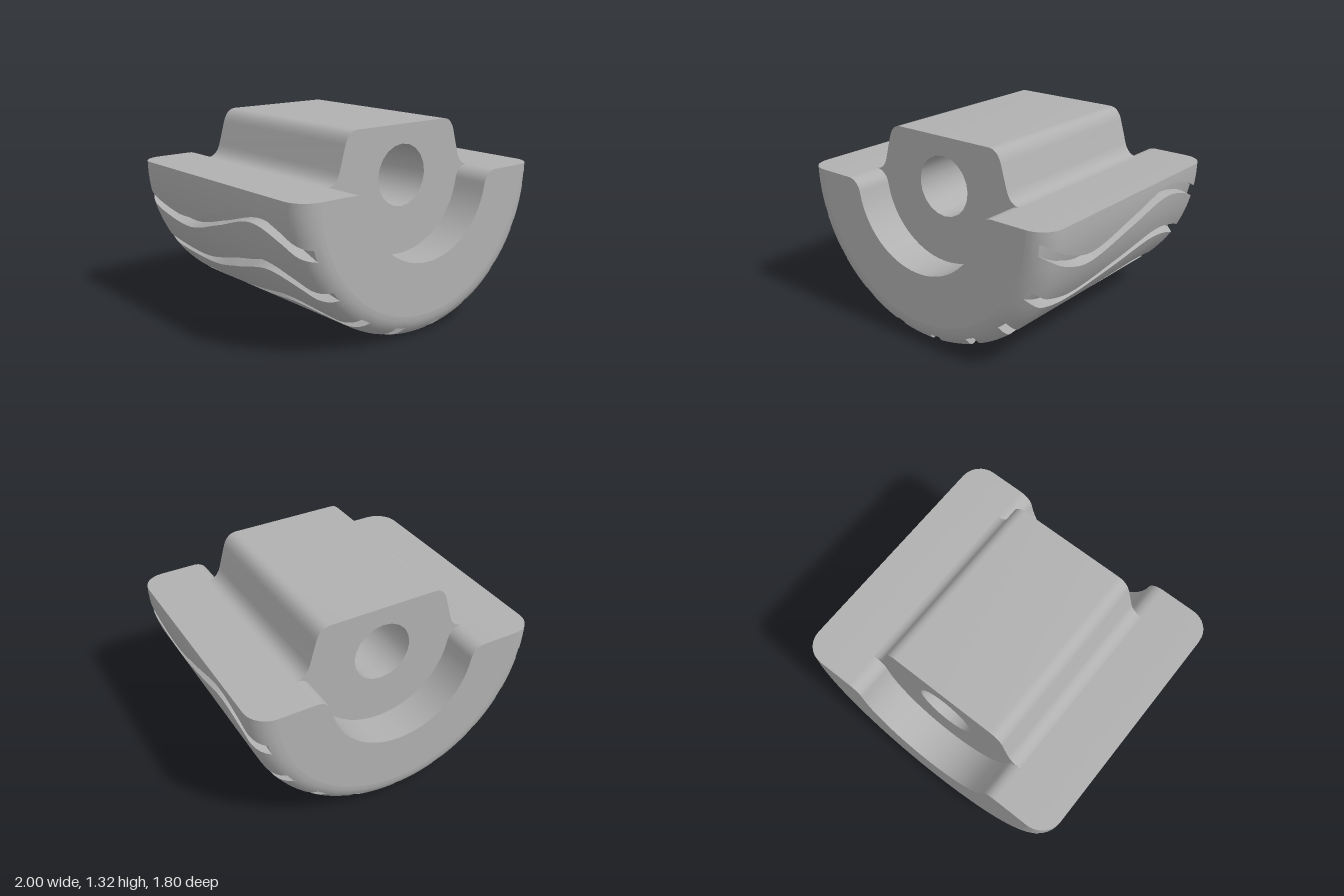
import * as THREE from 'three';
import { toCreasedNormals } from 'three/addons/utils/BufferGeometryUtils.js';

const RAD = Math.PI / 180, AXIS_Y = 1, HALF = 0.9, ROUND = 0.15;
const FLOOR = 0.93, GROOVES = 9, PITCH = 19.2, HALF_WIDTH = 2.3;
const BORE_R = 0.51, LIP = 0.1, LIP_X = Math.sqrt((BORE_R + LIP) ** 2 - LIP ** 2);

// angle (degrees) of the first wavy groove along z
const wave = new THREE.SplineCurve([
  [-0.9, -15], [-0.66, -8.3], [-0.38, -5.7], [0, -11.5], [0.38, -17.5], [0.66, -13.5], [0.9, -6],
].map(([z, a]) => new THREE.Vector2(z, a)));
const wavePoints = wave.getPoints(240);
function waveAngle(z) {
  const k = Math.max(1, wavePoints.findIndex((p) => p.x >= z - 1e-9));
  const a = wavePoints[k - 1], b = wavePoints[k];
  return a.y + (b.y - a.y) * (z - a.x) / (b.x - a.x);
}

// outer radius, rounded at both ends
function outerRadius(z) {
  const d = Math.max(0, Math.abs(z) - (HALF - ROUND));
  return 1 - ROUND + Math.sqrt(Math.max(0, ROUND * ROUND - d * d));
}

// half-round saddle with convex lips, from -x to +x
function saddlePoints() {
  const pts = [], lip = [];
  const end = Math.PI + Math.atan2(-LIP, LIP_X);
  const tangent = Math.atan2(LIP, -LIP_X) + Math.PI * 2; // lip end on the left side, towards the axis
  for (let i = 0; i <= 8; i++) {
    const a = Math.PI / 2 + (end - Math.PI / 2) * i / 8;
    lip.push(new THREE.Vector2(LIP_X + LIP * Math.cos(a), AXIS_Y - LIP + LIP * Math.sin(a)));
  }
  lip.forEach((p) => pts.push(new THREE.Vector2(-p.x, p.y)));
  const start = Math.PI + Math.asin(LIP / (BORE_R + LIP));
  const stop = 3 * Math.PI - start;
  for (let i = 1; i < 24; i++) {
    const a = start + (stop - start) * i / 24;
    pts.push(new THREE.Vector2(BORE_R * Math.cos(a), AXIS_Y + BORE_R * Math.sin(a)));
  }
  return pts.concat(lip.reverse());
}
const saddle = saddlePoints();

// closed cross-section of the body at z: grooved outside, then saddle
function section(z) {
  const r = outerRadius(z), floor = Math.min(r, FLOOR), first = waveAngle(z);
  const pts = [];
  const add = (deg, rad) => pts.push(
    new THREE.Vector2(rad * Math.cos(deg * RAD), AXIS_Y + rad * Math.sin(deg * RAD)));
  let from = 0;
  for (let g = 0; g <= GROOVES; g++) {
    const mid = first - PITCH * g;
    const to = g < GROOVES ? mid + HALF_WIDTH : -180;
    for (let i = 0; i <= 5; i++) add(from + (to - from) * i / 5, r);
    if (g === GROOVES) break;
    for (let i = 0; i <= 2; i++) add(mid + HALF_WIDTH * (1 - i), floor);
    from = mid - HALF_WIDTH;
  }
  return pts.concat(saddle);
}

function bodyGeometry() {
  const zs = [], flat = HALF - ROUND;
  for (let i = 8; i > 0; i--) zs.push(-flat - ROUND * Math.sin(i * Math.PI / 16));
  for (let i = 0; i <= 48; i++) zs.push(-flat + 2 * flat * i / 48);
  for (let i = 1; i <= 8; i++) zs.push(flat + ROUND * Math.sin(i * Math.PI / 16));
  const pos = [], index = [];
  let n = 0;
  zs.forEach((z, j) => {
    const loop = section(z);
    n = loop.length;
    loop.forEach((p, i) => {
      pos.push(p.x, p.y, z);
      if (j === zs.length - 1) return;
      const a = j * n + i, b = j * n + (i + 1) % n;
      index.push(a, a + n, b + n, a, b + n, b);
    });
  });
  const geo = new THREE.BufferGeometry();
  geo.setAttribute('position', new THREE.Float32BufferAttribute(pos, 3));
  geo.setIndex(index);
  return toCreasedNormals(geo, 35 * RAD);
}

// flat end face of the body
function endGeometry(side) {
  const pts = section(side * HALF).map((p) => new THREE.Vector2(p.x * side, p.y));
  const clean = pts.filter((p, i) => i === 0 || p.distanceTo(pts[i - 1]) > 1e-5);
  const geo = new THREE.ShapeGeometry(new THREE.Shape(clean));
  if (side < 0) geo.rotateY(Math.PI);
  return geo.translate(0, 0, side * HALF);
}

// raised block seated in the saddle, with a through hole
function blockGeometry() {
  const s = new THREE.Shape();
  s.moveTo(saddle[0].x, saddle[0].y);
  saddle.slice(1).forEach((p) => s.lineTo(p.x, p.y));
  s.quadraticCurveTo(0.535, 1.005, 0.51, 1.085);
  s.lineTo(0.466, 1.24);
  s.quadraticCurveTo(0.44, 1.325, 0.37, 1.325);
  s.lineTo(-0.37, 1.325);
  s.quadraticCurveTo(-0.44, 1.325, -0.466, 1.24);
  s.lineTo(-0.51, 1.085);
  s.quadraticCurveTo(-0.535, 1.005, saddle[0].x, saddle[0].y);
  const hole = new THREE.Path();
  hole.absarc(0, AXIS_Y, 0.2, 0, Math.PI * 2, true);
  s.holes.push(hole);
  const geo = new THREE.ExtrudeGeometry(s, { depth: 1.3, bevelEnabled: false, curveSegments: 10 });
  return toCreasedNormals(geo.translate(0, 0, -0.65), 35 * RAD);
}

export function createModel() {
  const group = new THREE.Group();
  group.name = 'groovedHalfRoller';
  const grey = new THREE.MeshStandardMaterial({ color: 0xb0b0b0 });
  grey.name = 'grey';
  const add = (name, geo) => {
    const mesh = new THREE.Mesh(geo, grey);
    mesh.name = name;
    group.add(mesh);
  };
  add('groovedBody', bodyGeometry());
  add('frontEnd', endGeometry(1));
  add('backEnd', endGeometry(-1));
  add('mountingBlock', blockGeometry());
  return group;
}
